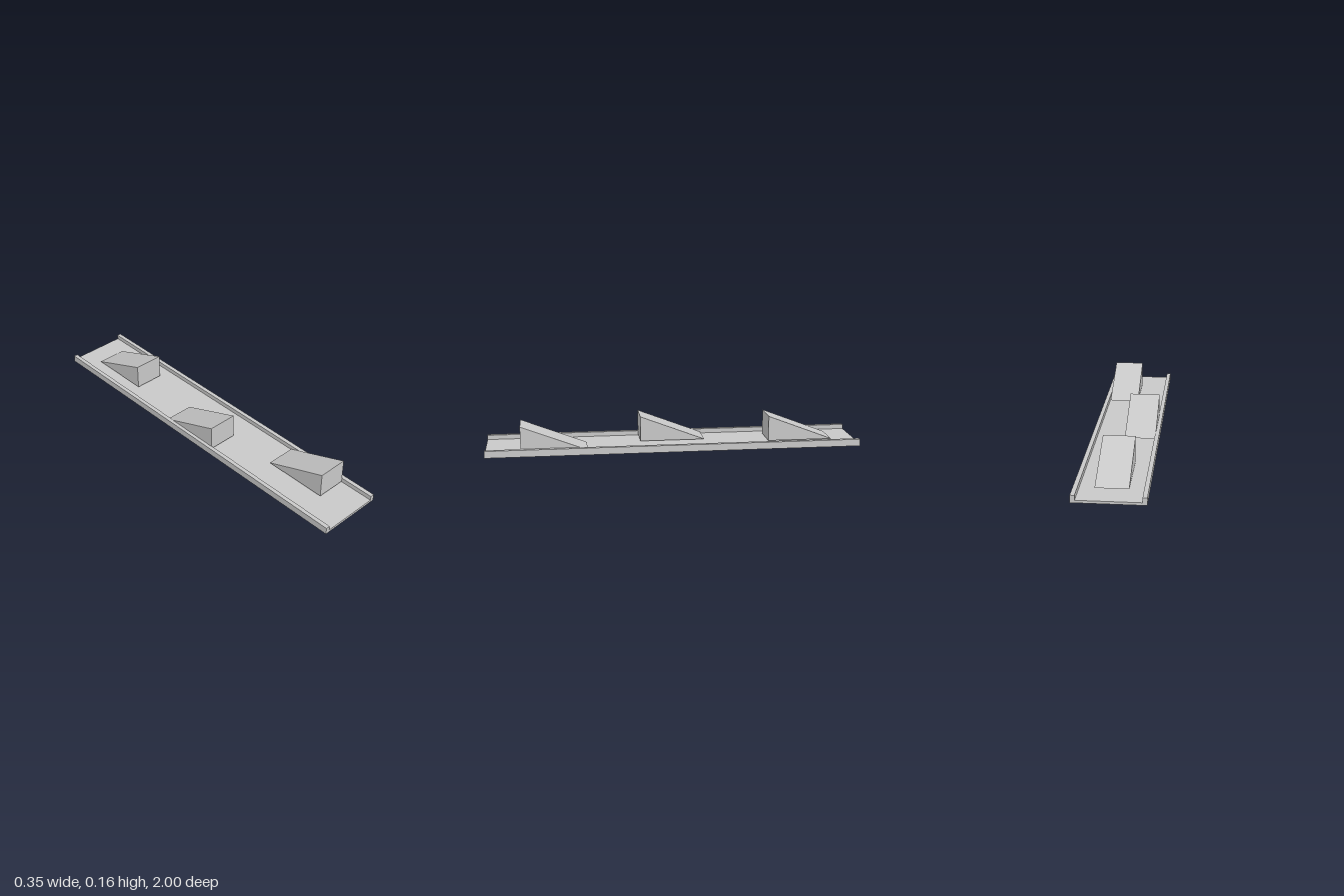
import * as THREE from 'three';

// Extrude a closed outline of [x, y] points
function extrude(points, depth) {
  const shape = new THREE.Shape(points.map(([x, y]) => new THREE.Vector2(x, y)));
  return new THREE.ExtrudeGeometry(shape, { depth, bevelEnabled: false });
}

export function createModel() {
  const group = new THREE.Group();
  const grey = new THREE.MeshStandardMaterial({ color: 0xc8c8c8 });
  grey.name = 'light grey';

  // Long channel: a thin floor with a rail on each side
  const outer = 0.176, inner = 0.154, floor = 0.013, rail = 0.037;
  const track = new THREE.Mesh(extrude([
    [-outer, 0], [outer, 0], [outer, rail], [inner, rail],
    [inner, floor], [-inner, floor], [-inner, rail], [-outer, rail],
  ], 2).translate(0, 0, -1), grey);
  track.name = 'track';
  group.add(track);

  // Wedge ramps just above the floor, tall end to the front
  const width = 0.162, length = 0.35, height = 0.135;
  const wedge = extrude([[0, 0], [length, 0], [0, height]], width)
    .rotateY(Math.PI / 2)
    .translate(-width / 2, 0, 0);
  const ramps = [
    ['frontRamp', 0.069, 0.814],
    ['middleRamp', -0.076, 0.174],
    ['backRamp', -0.001, -0.516],
  ];
  for (const [name, x, z] of ramps) {
    const ramp = new THREE.Mesh(wedge, grey);
    ramp.name = name;
    ramp.position.set(x, 0.02, z);
    group.add(ramp);
  }
  return group;
}
